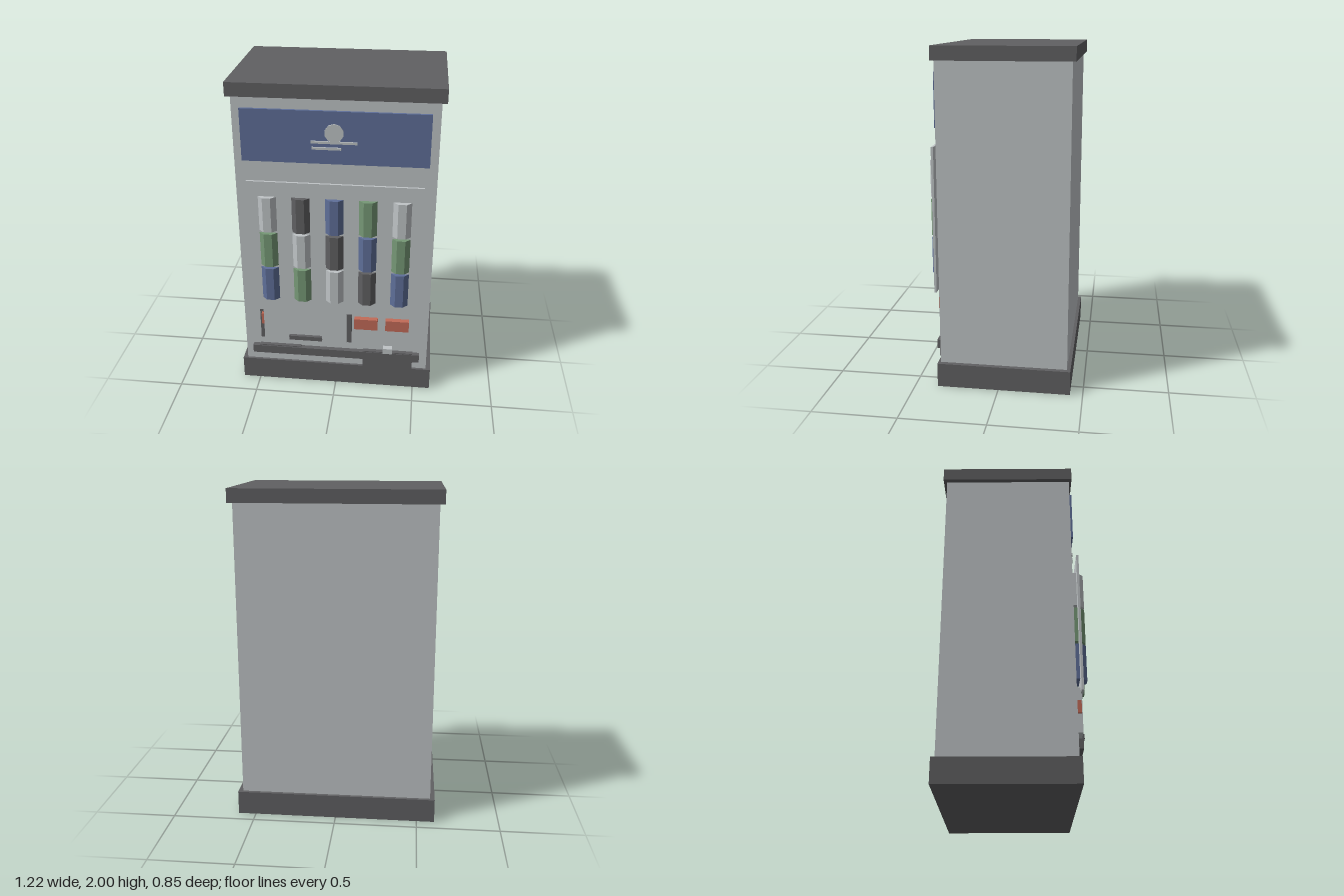
import * as THREE from 'three';

const paint = (name, color) => {
  const m = new THREE.MeshStandardMaterial({ color });
  m.name = name;
  return m;
};

export function createModel() {
  const light = paint('light grey', 0xbfc4c6);
  const dark = paint('dark grey', 0x606062);
  const blue = paint('blue', 0x5f6f99);
  const green = paint('green', 0x769876);
  const orange = paint('orange red', 0xc26b58);

  const model = new THREE.Group();
  model.name = 'vendingMachine';

  const add = (name, geometry, material, x, y, z) => {
    const mesh = new THREE.Mesh(geometry, material);
    mesh.name = name;
    mesh.position.set(x, y, z);
    model.add(mesh);
    return mesh;
  };
  // Box given by its extents on each axis
  const box = (name, material, [x0, x1], [y0, y1], [z0, z1]) =>
    add(name, new THREE.BoxGeometry(x1 - x0, y1 - y0, z1 - z0), material,
      (x0 + x1) / 2, (y0 + y1) / 2, (z0 + z1) / 2);

  // Cabinet
  box('cabinet', light, [-0.58, 0.58], [0.1, 1.94], [-0.405, 0.35]);
  box('base', dark, [-0.608, 0.608], [0, 0.145], [-0.425, 0.365]);
  box('roof', dark, [-0.608, 0.608], [1.92, 2], [-0.425, 0.365]);

  // Sign board with a plain disc and two strips
  box('signBoard', blue, [-0.533, 0.533], [1.545, 1.855], [0.345, 0.366]);
  const disc = add('signDisc', new THREE.CylinderGeometry(0.054, 0.054, 0.008, 10), light, 0, 1.738, 0.39);
  disc.rotation.x = Math.PI / 2;
  box('signStripUpper', light, [-0.13, 0.13], [1.676, 1.69], [0.386, 0.394]);
  box('signStripLower', light, [-0.125, 0.04], [1.64, 1.654], [0.386, 0.394]);

  // Display panel with octagonal cans standing through it
  box('displayPanel', light, [-0.511, 0.511], [0.558, 1.432], [0.382, 0.396]);
  const canGeometry = new THREE.CylinderGeometry(0.0628, 0.0628, 0.22, 8).toNonIndexed();
  canGeometry.rotateY(Math.PI / 8);
  canGeometry.computeVertexNormals();
  const colours = [light, dark, blue, green];
  for (let row = 0; row < 3; row++) {
    for (let col = 0; col < 5; col++) {
      add('can', canGeometry, colours[(col - row + 4) % 4], (col - 2) * 0.196, 1.23 - row * 0.235, 0.367);
    }
  }

  // Row of selection buttons
  for (let i = -2; i <= 2; i++) {
    const x = i * 0.195 - 0.003;
    box('button', orange, [x - 0.073, x + 0.073], [0.44, 0.514], [0.345, 0.383]);
  }

  // Delivery hatch
  box('hatchFrame', dark, [-0.48, 0.102], [0.317, 0.63], [0.345, 0.357]);
  box('hatchFlap', light, [-0.45, 0.073], [0.328, 0.595], [0.355, 0.388]);
  box('hatchHandle', dark, [-0.29, -0.082], [0.347, 0.376], [0.385, 0.408]);

  // Lower ledge and coin unit
  box('ledge', dark, [-0.533, 0.533], [0.21, 0.265], [0.345, 0.38]);
  box('ledgeStrip', dark, [-0.49, -0.22], [0.255, 0.271], [0.345, 0.374]);
  box('coinBox', dark, [0.175, 0.49], [0.14, 0.271], [0.345, 0.376]);
  box('coinLever', light, [0.303, 0.361], [0.265, 0.303], [0.347, 0.385]);

  return model;
}
